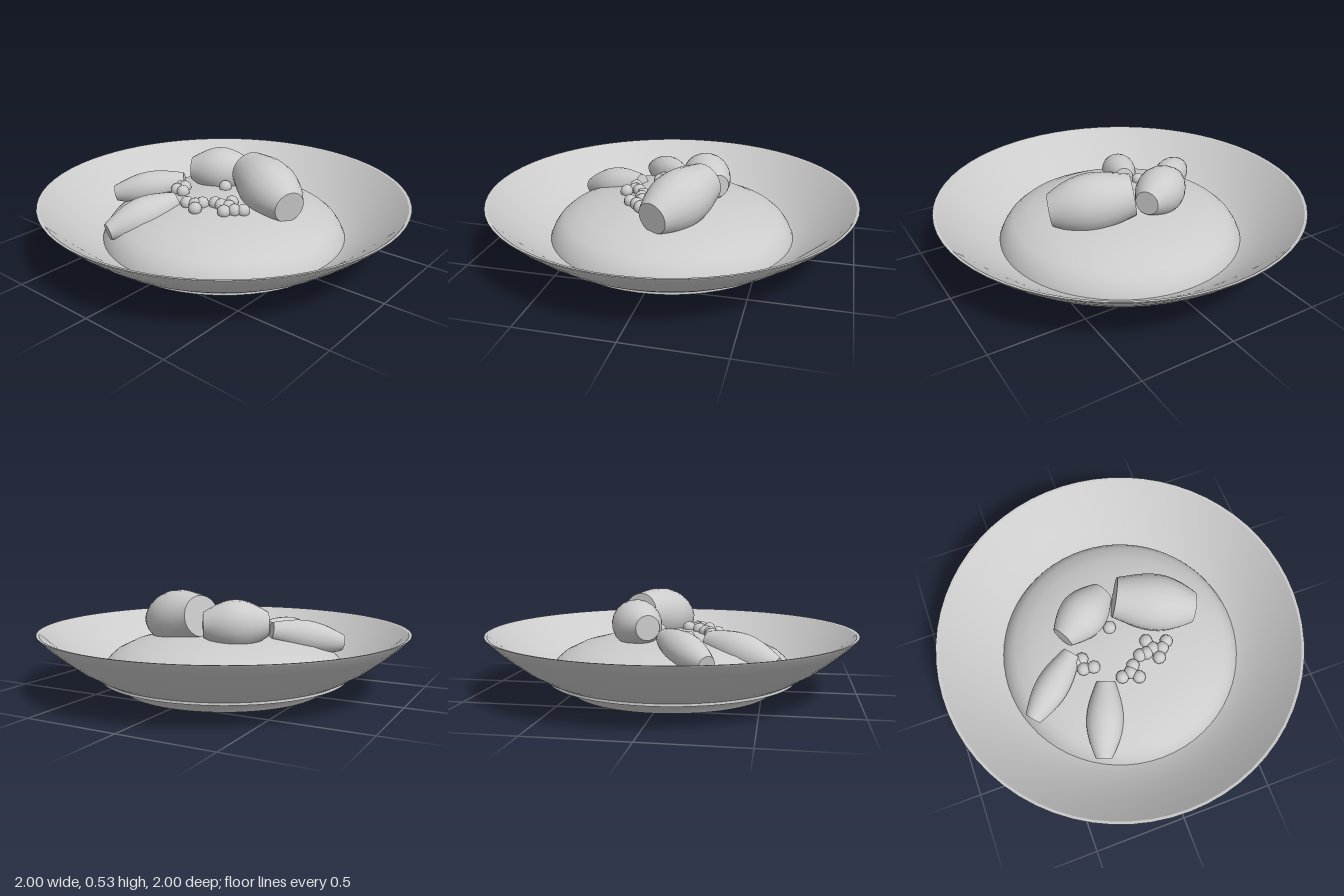
import * as THREE from 'three';
import { toCreasedNormals } from 'three/addons/utils/BufferGeometryUtils.js';

const clay = new THREE.MeshStandardMaterial({ color: 0xcccccc });
clay.name = 'plain grey';

const UP = new THREE.Vector3(0, 1, 0);

// Surface of revolution from [radius, height] pairs, listed from the underside outward and up
function lathe(name, pairs, segments, crease) {
  const points = pairs.map(([r, y]) => new THREE.Vector2(r, y));
  const geometry = toCreasedNormals(new THREE.LatheGeometry(points, segments), crease);
  const mesh = new THREE.Mesh(geometry, clay);
  mesh.name = name;
  return mesh;
}

// Barrel-shaped piece between two end centres, with blunt ends
function barrel(name, a, b, endRadius, farRadius, midRadius) {
  const start = new THREE.Vector3(...a);
  const axis = new THREE.Vector3(...b).sub(start);
  const length = axis.length();
  const pairs = [[0, 0]];
  const steps = 10;
  for (let i = 0; i <= steps; i++) {
    const t = i / steps;
    const ends = THREE.MathUtils.lerp(endRadius, farRadius, t);
    pairs.push([ends + (midRadius - ends) * Math.sin(Math.PI * t), length * t]);
  }
  pairs.push([0, length]);
  const mesh = lathe(name, pairs, 20, 0.7);
  mesh.position.copy(start);
  mesh.quaternion.setFromUnitVectors(UP, axis.normalize());
  return mesh;
}

export function createModel() {
  const model = new THREE.Group();
  model.name = 'plateOfFood';

  // Shallow dish with a foot and a thin flared wall
  model.add(lathe('dish', [
    [0, 0], [0.55, 0], [0.57, 0.032], [0.61, 0.052], [0.655, 0.07], [0.72, 0.103],
    [0.8, 0.152], [0.88, 0.213], [0.95, 0.272], [0.995, 0.315], [1, 0.325],
    [0.985, 0.323], [0.94, 0.282], [0.87, 0.224], [0.79, 0.164], [0.71, 0.115],
    [0.64, 0.085], [0.5, 0.06], [0, 0.06],
  ], 64, 0.6));

  // Domed bed of food; its lower edge just breaks through the wall
  model.add(lathe('mound', [
    [0, 0.068], [0.678, 0.068], [0.678, 0.076], [0.662, 0.115], [0.65, 0.14], [0.625, 0.175],
    [0.59, 0.205], [0.5, 0.248], [0.4, 0.273], [0.3, 0.292], [0.15, 0.312], [0, 0.322],
  ], 64, 0.7));

  // Four plump pieces around the middle
  model.add(
    barrel('largePiece', [0.035, 0.41, -0.185], [0.43, 0.345, -0.005], 0.11, 0.085, 0.155),
    barrel('backPiece', [-0.3, 0.375, -0.075], [-0.01, 0.375, -0.25], 0.065, 0.065, 0.13),
    barrel('sidePiece', [-0.28, 0.325, 0.01], [-0.59, 0.25, 0.26], 0.05, 0.045, 0.09),
    barrel('frontPiece', [-0.16, 0.3, 0.215], [-0.305, 0.2, 0.58], 0.05, 0.045, 0.1),
  );

  // Small peas scattered on the bed
  const peas = new THREE.Group();
  peas.name = 'peas';
  const spots = [
    [-0.27, 0.06], [-0.24, 0.055], [-0.25, 0.11], [-0.195, 0.12],
    [-0.07, 0.225], [-0.02, 0.215], [0.015, 0.255], [0.005, 0.185], [0.06, 0.145],
    [0.1, 0.145], [0.155, 0.19], [0.14, 0.13], [0.19, 0.145], [0.225, 0.115],
    [0.12, 0.08], [-0.04, -0.06],
  ];
  const peaGeometry = new THREE.SphereGeometry(0.036, 10, 7);
  spots.forEach(([x, z], i) => {
    const pea = new THREE.Mesh(peaGeometry, clay);
    pea.name = 'pea';
    pea.position.set(x, 0.335 - 0.09 * Math.hypot(x, z), z);
    pea.rotation.set(i, i * 1.7, 0);
    peas.add(pea);
  });
  model.add(peas);

  return model;
}
